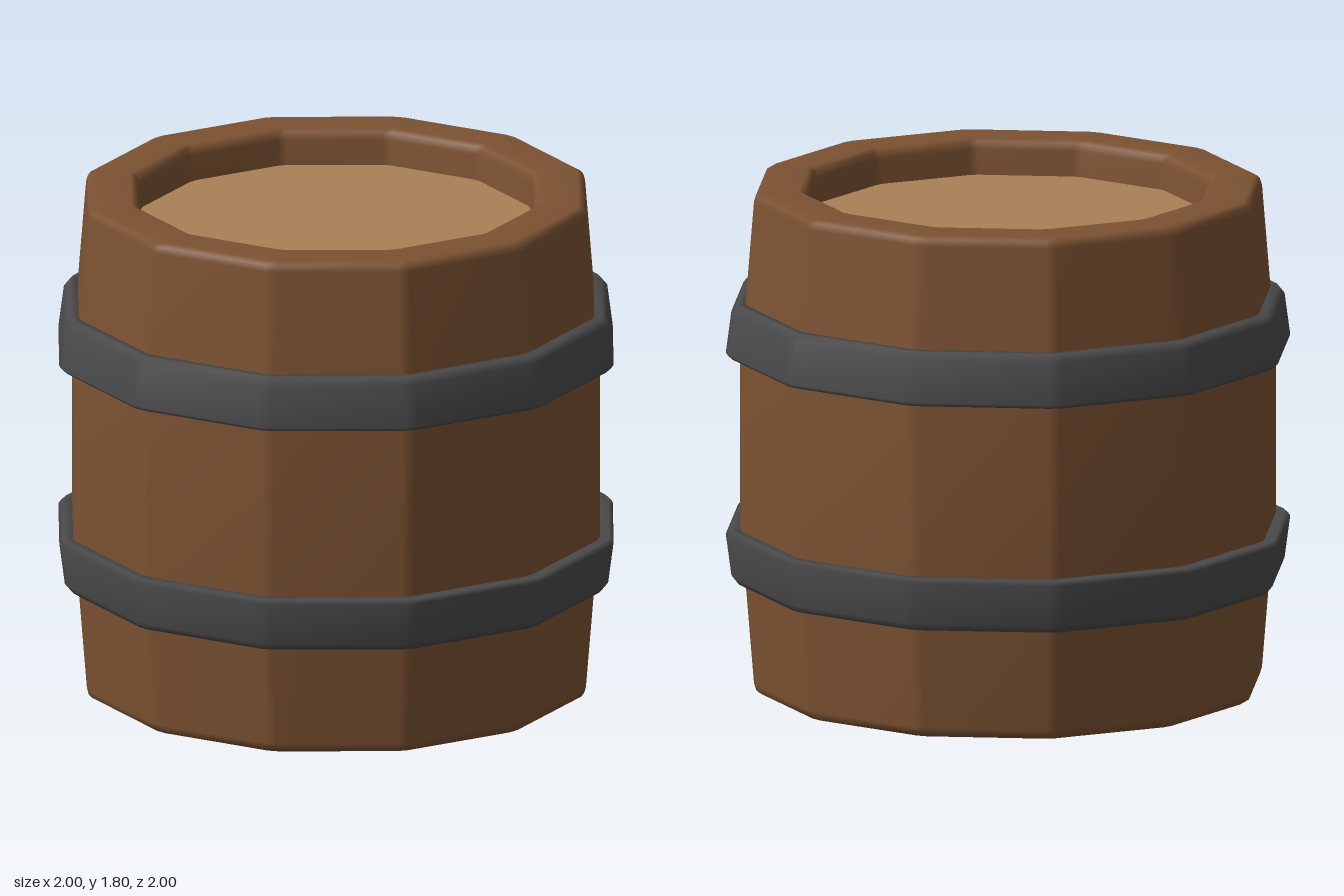
import * as THREE from 'three';

const SIDES = 12, HEIGHT = 1.8, CHAMFER = 0.045;

// Unit twelve-sided outline with slightly chamfered corners
function outline() {
  const pts = [];
  const corner = (i) => new THREE.Vector2(Math.sin(i * 2 * Math.PI / SIDES), Math.cos(i * 2 * Math.PI / SIDES));
  for (let i = 0; i < SIDES; i++) {
    for (const n of [i - 1, i + 1]) pts.push(corner(i).lerp(corner(n), CHAMFER));
  }
  const reach = pts[0].length();
  return pts.map((p) => p.divideScalar(reach));
}

// Sweep a [radius, y] profile around the outline; shared vertices give soft bevels
function sweep(profile, closed) {
  const ring = outline(), n = ring.length, pos = [], idx = [];
  for (const [r, y] of profile) for (const p of ring) pos.push(p.x * r, y, p.y * r);
  const rows = closed ? profile.length : profile.length - 1;
  for (let i = 0; i < rows; i++) {
    const k = (i + 1) % profile.length;
    for (let j = 0; j < n; j++) {
      const m = (j + 1) % n;
      const a = i * n + j, b = i * n + m, c = k * n + m, d = k * n + j;
      idx.push(a, b, c, a, c, d);
    }
  }
  const g = new THREE.BufferGeometry();
  g.setAttribute('position', new THREE.Float32BufferAttribute(pos, 3));
  g.setIndex(idx);
  g.computeVertexNormals();
  return g;
}

const mirror = (profile) => profile.map(([r, y]) => [r, HEIGHT - y]).reverse();

export function createModel() {
  const group = new THREE.Group();
  const wood = new THREE.MeshStandardMaterial({ color: 0x7c5232 });
  const lidWood = new THREE.MeshStandardMaterial({ color: 0xa98056 });
  const iron = new THREE.MeshStandardMaterial({ color: 0x4b4b4b });

  const add = (name, geometry, material) => {
    const mesh = new THREE.Mesh(geometry, material);
    mesh.name = name;
    group.add(mesh);
    return mesh;
  };

  // Staves: bulging wall with rounded rims that turn down to the recessed lids
  const upper = [
    [0.95, 1.22], [0.93, 1.4], [0.9, 1.765], [0.893, 1.788], [0.873, 1.8],
    [0.74, 1.8], [0.72, 1.79], [0.71, 1.765], [0.7, 1.64],
  ];
  add('staves', sweep([...mirror(upper), ...upper], false), wood);

  // Hoops: flared bands, widest toward the middle of the barrel
  const hoop = [
    [0.9, 1.21], [0.985, 1.21], [1.0, 1.225], [0.98, 1.375], [0.96, 1.4], [0.9, 1.4],
  ];
  add('upperHoop', sweep(hoop, true), iron);
  add('lowerHoop', sweep(mirror(hoop), true), iron);

  // Recessed lids at both ends
  for (const [name, y] of [['topLid', 1.66], ['bottomLid', HEIGHT - 1.66]]) {
    add(name, new THREE.CylinderGeometry(0.72, 0.72, 0.03, SIDES), lidWood).position.y = y;
  }
  return group;
}
